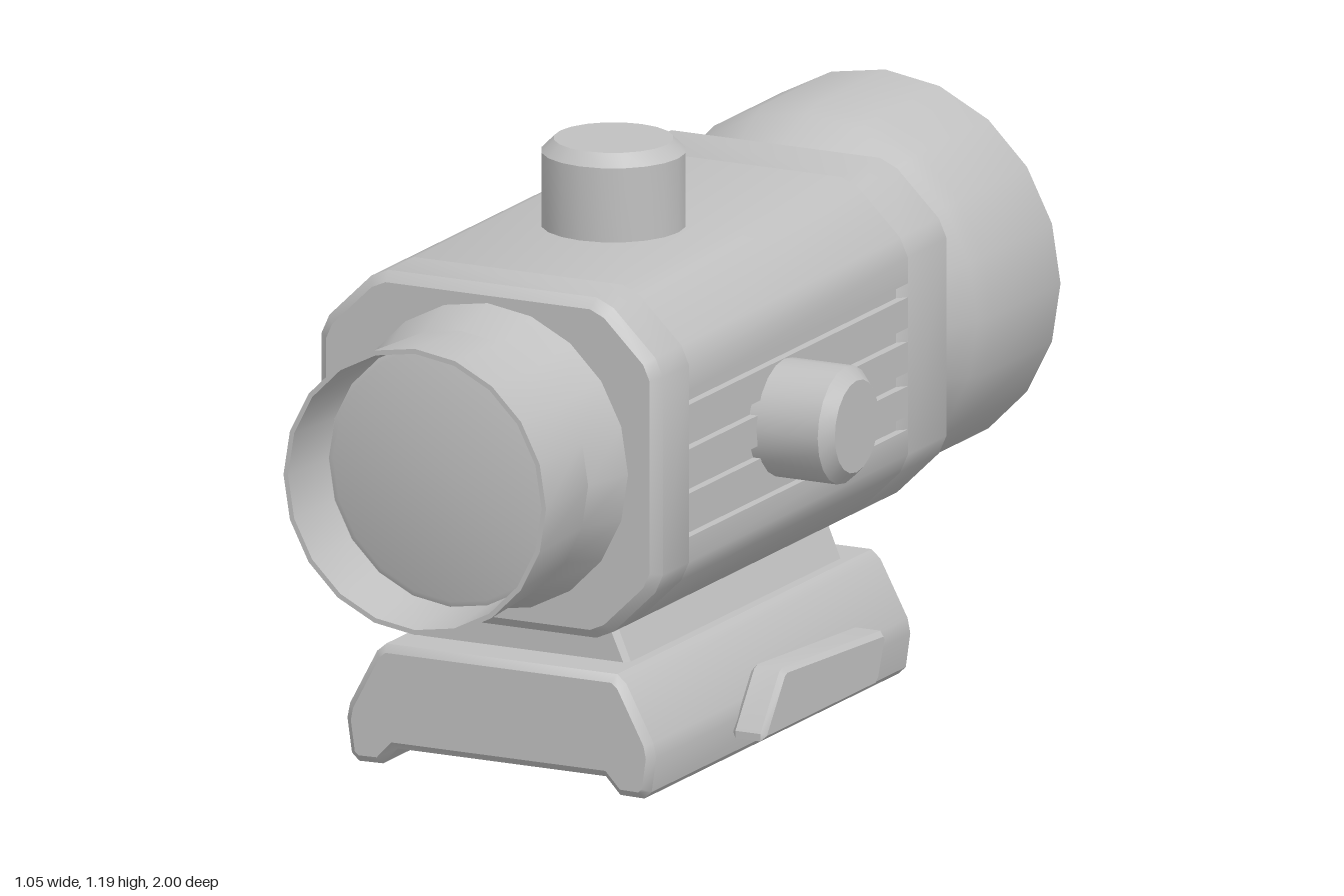
import * as THREE from 'three';
import { toCreasedNormals } from 'three/addons/utils/BufferGeometryUtils.js';

const CX = -0.012;  // optical axis
const CY = 0.67;
const KNOB_Z = 0.155;
const SIDES = 20;

const grey = new THREE.MeshStandardMaterial({ color: 0xc0c0c0 });
grey.name = 'grey';

function add(group, name, geometry, x = 0, y = 0, z = 0) {
  const mesh = new THREE.Mesh(toCreasedNormals(geometry, 0.6), grey);
  mesh.name = name;
  mesh.position.set(x, y, z);
  group.add(mesh);
  return mesh;
}

// Prism along +z from z = 0, with bevelled ends that stay inside the outline
function prism(points, depth, bevel = 0) {
  const shape = new THREE.Shape(points.map(([x, y]) => new THREE.Vector2(x, y)));
  const geometry = new THREE.ExtrudeGeometry(shape, {
    depth: depth - 2 * bevel, bevelEnabled: bevel > 0, bevelSegments: 1,
    bevelThickness: bevel, bevelSize: bevel, bevelOffset: -bevel,
  });
  return geometry.translate(0, 0, bevel);
}

// Closed outline from its right half, listed bottom to top
const mirrored = (half) => [...half, ...half.map(([x, y]) => [-x, y]).reverse()];

const lathe = (points, sides = SIDES) =>
  new THREE.LatheGeometry(points.map(([r, y]) => new THREE.Vector2(r, y)), sides);

// Plain turned knob standing on y = 0
const knob = (r, h) => lathe([[r, -0.02], [r, h - 0.025], [r - 0.025, h], [0, h]]);

export function createModel() {
  const model = new THREE.Group();
  model.name = 'opticalSight';

  // Housing: grooved middle between two plain bevelled ends
  const lower = [[0.23, 0.325], [0.268, 0.342], [0.36, 0.432], [0.377, 0.47]];
  const upper = [[0.377, 0.87], [0.36, 0.908], [0.268, 0.998], [0.23, 1.015]];
  const grooves = [0.535, 0.623, 0.713, 0.803].flatMap((y) => [
    [0.377, y - 0.014], [0.36, y - 0.014], [0.36, y + 0.014], [0.377, y + 0.014],
  ]);
  const plain = mirrored([...lower, ...upper]);
  const body = new THREE.Group();
  body.name = 'housing';
  model.add(body);
  add(body, 'groovedMiddle', prism(mirrored([...lower, ...grooves, ...upper]), 0.93), CX, 0, -0.37);
  add(body, 'frontEnd', prism(plain, 0.15, 0.02), CX, 0, 0.54);
  add(body, 'rearEnd', prism(plain, 0.205, 0.02), CX, 0, -0.555);

  // Eyepiece with recessed lens
  const eyepiece = lathe([
    [0.315, 0.67], [0.31, 0.69], [0.278, 0.8], [0.28, 0.802], [0.29, 1],
    [0.28, 1], [0.268, 0.85],
  ]);
  add(model, 'eyepiece', eyepiece.rotateX(Math.PI / 2), CX, CY, 0);
  add(model, 'eyepieceLens', lathe([[0.27, 0.845], [0.258, 0.85], [0, 0.85]])
    .rotateX(Math.PI / 2), CX, CY, 0);

  // Large objective bell with recessed lens
  const bell = lathe([
    [0.325, 0.53], [0.333, 0.555], [0.375, 0.67], [0.387, 0.71], [0.387, 1],
    [0.365, 1], [0.36, 0.9],
  ]);
  add(model, 'objectiveBell', bell.rotateX(-Math.PI / 2), CX, CY, 0);
  add(model, 'objectiveLens', lathe([[0.362, 0.9], [0, 0.9]]).rotateX(-Math.PI / 2), CX, CY, 0);

  // Top and side adjustment knobs
  add(model, 'topKnob', knob(0.143, 0.175), CX, 1.015, KNOB_Z);
  add(model, 'sideKnob', knob(0.118, 0.16).rotateZ(-Math.PI / 2), 0.365, CY, KNOB_Z);

  // Notched dial on the right side
  const dialOutline = [];
  for (let i = 0; i < 6; i++) {
    const a = (i + 0.5) * Math.PI / 3;
    for (const [da, r] of [[-0.06, 0.152], [-0.05, 0.136], [0.05, 0.136], [0.06, 0.152],
      [0.29, 0.152], [0.52, 0.152], [0.76, 0.152]]) {
      dialOutline.push([r * Math.cos(a + da), r * Math.sin(a + da)]);
    }
  }
  add(model, 'dial', prism(dialOutline, 0.14, 0.01).rotateY(-Math.PI / 2), -0.37, CY, KNOB_Z);
  add(model, 'dialMarker', new THREE.CylinderGeometry(0.03, 0.03, 0.02, 16).rotateZ(Math.PI / 2),
    -0.517, 0.77, KNOB_Z);

  // Neck and rail clamp
  add(model, 'neck', prism(mirrored([[0.245, 0.22], [0.195, 0.34]]), 0.915, 0.012), CX, 0, -0.37);
  const clamp = mirrored([
    [0.23, 0.035], [0.262, 0.001], [0.315, 0], [0.331, 0.015], [0.341, 0.085],
    [0.335, 0.115], [0.275, 0.228], [0.255, 0.245],
  ]);
  add(model, 'railClamp', prism(clamp, 1.11, 0.015), CX, 0, -0.465);

  // Clamp lever on the left, hex nut on the right
  const lever = [[-0.305, 0.05], [0.17, 0.05], [0.185, 0.063], [0.215, 0.14], [0.205, 0.155],
    [-0.21, 0.178], [-0.225, 0.172], [-0.305, 0.065]];
  add(model, 'clampLever', prism(lever, 0.075, 0.01).rotateY(Math.PI / 2), 0.325, 0, 0);
  add(model, 'clampNut', new THREE.CylinderGeometry(0.049, 0.049, 0.08, 6).rotateZ(Math.PI / 2),
    -0.355, 0.113, 0.09);

  return model;
}
